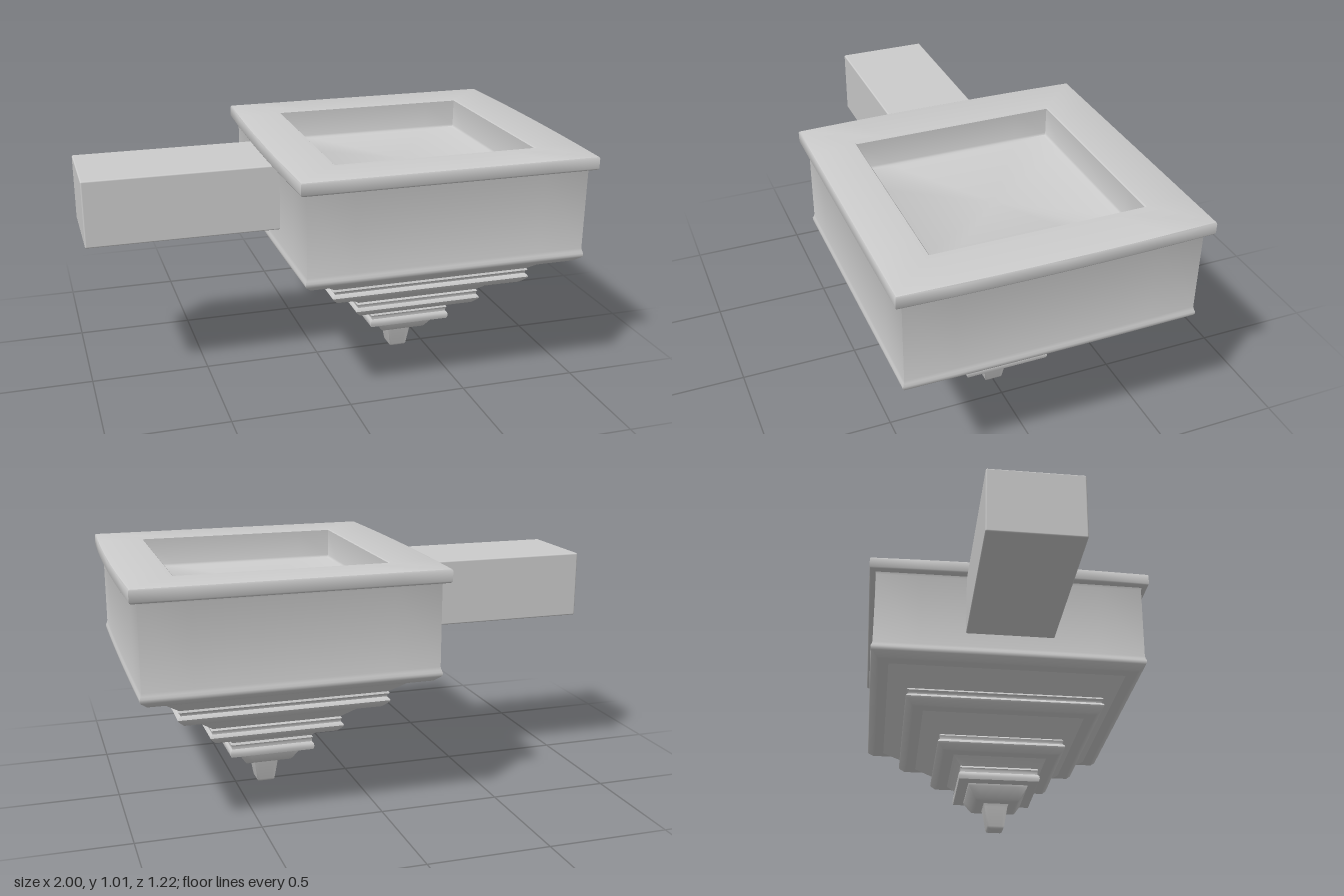
import * as THREE from 'three';
import { toCreasedNormals } from 'three/addons/utils/BufferGeometryUtils.js';
import { RoundedBoxGeometry } from 'three/addons/geometries/RoundedBoxGeometry.js';

const CENTER_X = 0.373;
const material = new THREE.MeshStandardMaterial({ color: 0xcccccc });

// Sweeps a [half width, height] profile around a square plan; wide rings bow out a little in x
function squareLathe(name, profile, bow = 0) {
  const points = profile.map(([w, y]) => new THREE.Vector2(w, y));
  const geometry = new THREE.LatheGeometry(points, 32);
  const pos = geometry.attributes.position;
  for (let i = 0; i < pos.count; i++) {
    const x = pos.getX(i), z = pos.getZ(i);
    const m = Math.max(Math.abs(x), Math.abs(z)), r = Math.hypot(x, z);
    if (m < 1e-6) continue;
    const sx = x * r / m, sz = z * r / m;
    const swell = r > 0.5 ? bow * (1 - (sz / r) ** 2) * sx / r : 0;
    pos.setXYZ(i, sx + swell, pos.getY(i), sz);
  }
  const mesh = new THREE.Mesh(toCreasedNormals(geometry, 0.65), material);
  mesh.name = name;
  mesh.position.x = CENTER_X;
  return mesh;
}

export function createModel() {
  const group = new THREE.Group();
  group.name = 'wallBracketBasin';

  // Small tapered drop at the very bottom
  group.add(squareLathe('finial', [
    [0, 0], [0.026, 0], [0.034, 0.004], [0.038, 0.012], [0.051, 0.098], [0.056, 0.112],
  ]));

  // Stepped, moulded underside
  group.add(squareLathe('steppedUnderside', [
    [0, 0.111], [0.088, 0.111], [0.096, 0.114], [0.102, 0.121], [0.13, 0.165], [0.132, 0.175],
    // fourth moulding
    [0.168, 0.175], [0.176, 0.178], [0.18, 0.192], [0.178, 0.204], [0.171, 0.212],
    [0.171, 0.222], [0.175, 0.231], [0.17, 0.24], [0.205, 0.277],
    // third moulding
    [0.25, 0.277], [0.257, 0.28], [0.276, 0.3], [0.28, 0.308], [0.277, 0.315],
    [0.27, 0.322], [0.27, 0.332], [0.274, 0.338], [0.268, 0.345], [0.352, 0.415],
    // second moulding
    [0.395, 0.415], [0.403, 0.418], [0.426, 0.441], [0.43, 0.449], [0.426, 0.456],
    [0.418, 0.463], [0.42, 0.472], [0.427, 0.478], [0.423, 0.486], [0.51, 0.555],
    [0.548, 0.555],
  ]));

  // Square box with a base moulding
  group.add(squareLathe('basinBody', [
    [0.5, 0.555], [0.552, 0.555], [0.56, 0.558], [0.584, 0.579], [0.588, 0.587], [0.588, 0.596],
    [0.584, 0.606], [0.581, 0.618], [0.581, 0.945], [0.585, 0.957],
  ], 0.004));

  // Overhanging rim with the square recess inside it
  group.add(squareLathe('rimAndRecess', [
    [0.57, 0.955], [0.603, 0.955], [0.608, 0.958], [0.611, 0.963], [0.611, 1.003],
    [0.608, 1.009], [0.603, 1.011], [0.426, 1.011], [0.422, 1.007],
    [0.422, 0.893], [0.418, 0.885], [0.41, 0.881], [0, 0.881],
  ], 0.012));

  // Horizontal support arm
  const arm = new THREE.Mesh(new RoundedBoxGeometry(0.82, 0.275, 0.38, 2, 0.006), material);
  arm.name = 'supportArm';
  arm.position.set(-0.59, 0.817, 0);
  group.add(arm);

  return group;
}
